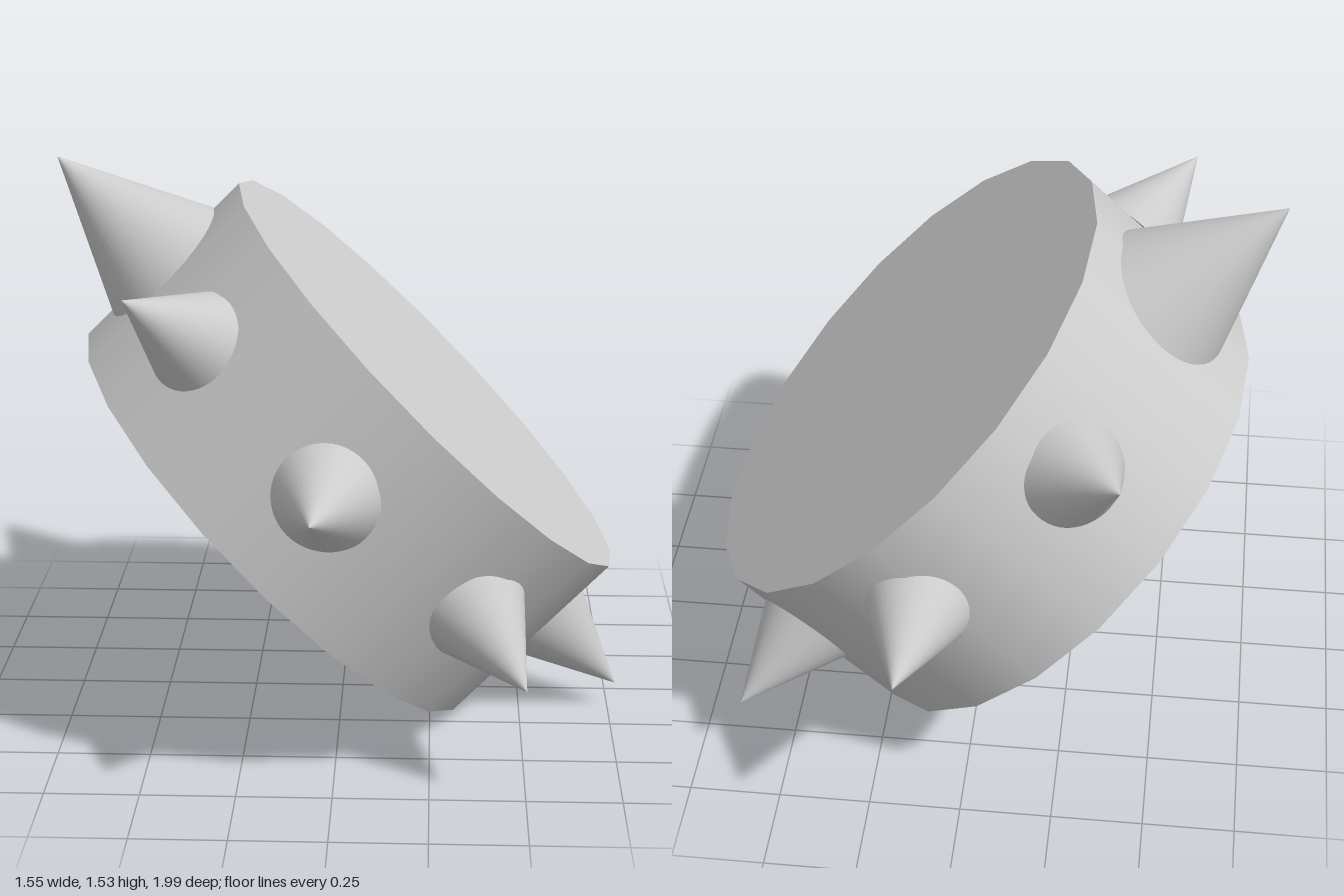
import * as THREE from 'three';

const material = new THREE.MeshStandardMaterial({ color: 0xcccccc });

// Cone standing on the rim, pointing outward at an angle around the ring
function makeSpike(name, angle, inner, tip, radius) {
  const height = tip - inner;
  const spike = new THREE.Mesh(new THREE.ConeGeometry(radius, height, 48), material);
  const outward = new THREE.Vector3(-Math.cos(angle), 0, Math.sin(angle));
  spike.quaternion.setFromUnitVectors(new THREE.Vector3(0, 1, 0), outward);
  spike.position.copy(outward).multiplyScalar(inner + height / 2);
  spike.name = name;
  return spike;
}

export function createModel() {
  const model = new THREE.Group();
  model.name = 'spikedWheel';

  // Everything leans over at 45 degrees
  const tilted = new THREE.Group();
  tilted.name = 'tiltedBody';
  tilted.position.set(0.025, 0.73, 0);
  tilted.rotation.z = -Math.PI / 4;
  model.add(tilted);

  // Twenty-sided solid drum
  const drum = new THREE.Mesh(new THREE.CylinderGeometry(0.735, 0.735, 0.595, 20), material);
  drum.name = 'drum';
  drum.rotation.set(-0.043, -0.012, 0);
  tilted.add(drum);

  // Seven small spikes, slightly skewed against the drum
  const ring = new THREE.Group();
  ring.name = 'spikeRing';
  ring.position.y = 0.03;
  ring.rotation.set(0.008, 0, 0.03);
  for (let i = 1; i < 8; i++) {
    const angle = THREE.MathUtils.degToRad(i * 45 - 6.6);
    ring.add(makeSpike('smallSpike', angle, 0.715, 1.003, 0.143));
  }
  tilted.add(ring);

  // One large spike at the upper end
  tilted.add(makeSpike('largeSpike', -0.009, 0.7, 1.135, 0.216));

  return model;
}
